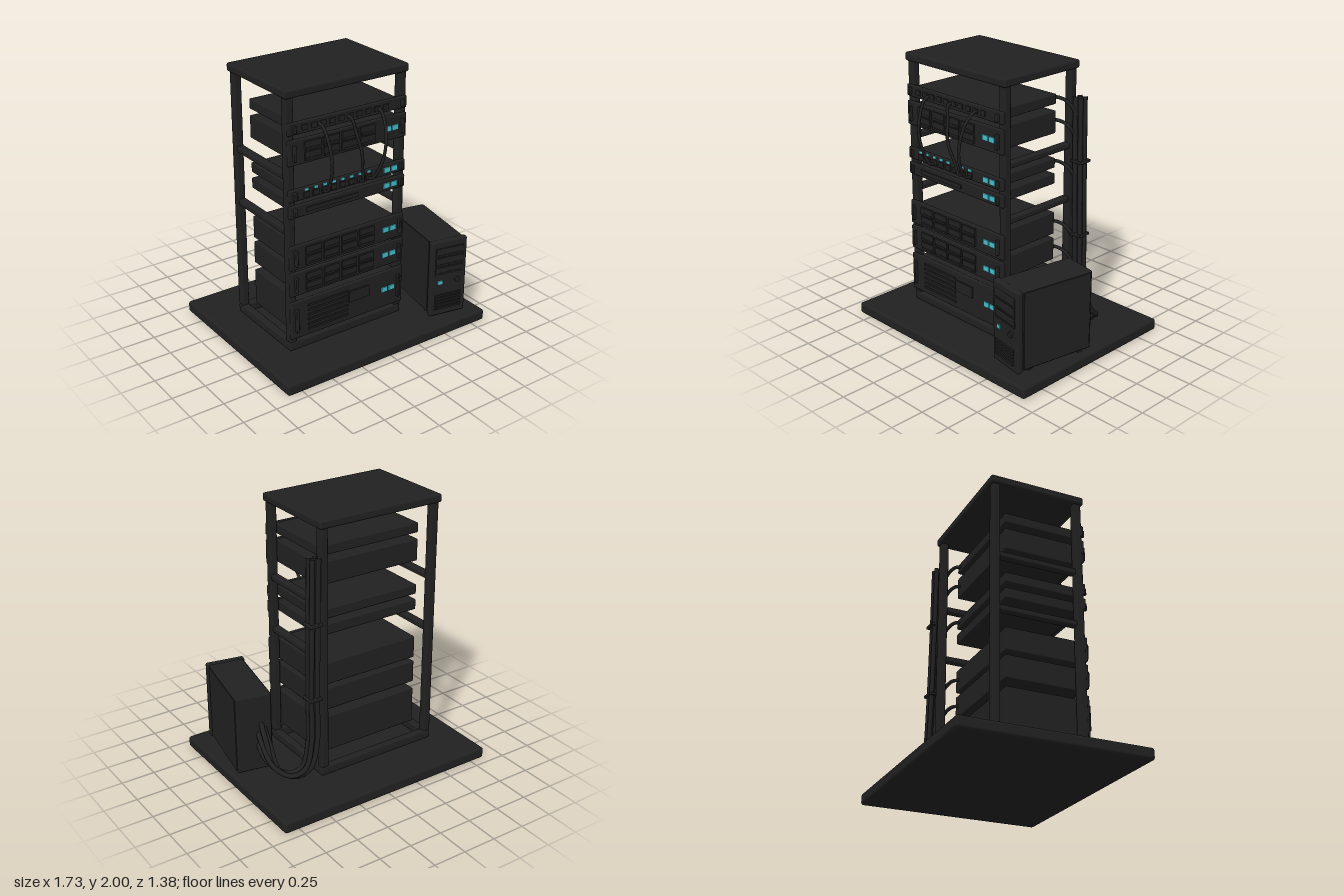
import * as THREE from 'three';
import { RoundedBoxGeometry } from 'three/addons/geometries/RoundedBoxGeometry.js';

const mat = (name, color) => {
  const m = new THREE.MeshStandardMaterial({ color });
  m.name = name;
  return m;
};

export function createModel() {
  const root = new THREE.Group();
  root.name = 'serverRack';
  const black = mat('charcoal', 0x212121);
  const teal = mat('tealLight', 0x45bccc);

  const add = (parent, name, geo, material, x = 0, y = 0, z = 0) => {
    const m = new THREE.Mesh(geo, material);
    m.name = name;
    m.position.set(x, y, z);
    parent.add(m);
    return m;
  };
  // box given by its limits on each axis, with softened edges when r > 0
  const block = (parent, name, [x0, x1], [y0, y1], [z0, z1], r = 0, material = black) => {
    const w = x1 - x0, h = y1 - y0, d = z1 - z0;
    const geo = r ? new RoundedBoxGeometry(w, h, d, 2, r) : new THREE.BoxGeometry(w, h, d);
    return add(parent, name, geo, material, (x0 + x1) / 2, (y0 + y1) / 2, (z0 + z1) / 2);
  };
  const cable = (parent, name, pts, r) => {
    const curve = new THREE.CatmullRomCurve3(pts.map(p => new THREE.Vector3(...p)), false, 'centripetal');
    return add(parent, name, new THREE.TubeGeometry(curve, 48, r, 8), black);
  };
  const group = name => {
    const g = new THREE.Group();
    g.name = name;
    root.add(g);
    return g;
  };

  // floor plate
  block(root, 'basePlate', [-0.865, 0.865], [0, 0.085], [-0.69, 0.69], 0.02);

  // rack frame
  const frame = group('rackFrame');
  block(frame, 'topPlate', [-0.64, 0.355], [1.94, 2], [-0.36, 0.36], 0.015);
  const postX = [[-0.625, -0.567], [0.285, 0.342]], postZ = [[-0.345, -0.287], [0.287, 0.345]];
  for (const x of postX) {
    for (const z of postZ) block(frame, 'post', x, [0.15, 1.945], z, 0.01);
    block(frame, 'bottomSideRail', x, [0.085, 0.155], [-0.345, 0.345], 0.015);
    for (const y of [0.992, 1.392]) block(frame, 'sideRail', x, [y - 0.021, y + 0.021], [-0.29, 0.29], 0.01);
  }
  for (const z of postZ) block(frame, 'bottomRail', [-0.625, 0.342], [0.085, 0.155], z, 0.015);

  // rack units
  const F = 0.362; // front surface of the panels
  const details = {
    patch(g, y) {
      for (let i = 0; i < 10; i++) {
        const x = -0.52 + i * 0.0725;
        block(g, 'port', [x, x + 0.045], [y - 0.018, y + 0.018], [F, F + 0.008]);
      }
    },
    bays(g, y) {
      for (let i = 0; i < 4; i++) for (const s of [-1, 1]) {
        const x = -0.5 + i * 0.148, c = y + s * 0.036;
        block(g, 'driveBay', [x, x + 0.127], [c - 0.03, c + 0.03], [F, F + 0.012]);
        block(g, 'bayLatch', [x + 0.01, x + 0.117], [c - 0.02, c - 0.012], [F + 0.012, F + 0.016]);
      }
    },
    networkSwitch(g, y) {
      for (let i = 0; i < 8; i++) {
        const x = -0.487 + i * 0.0725;
        block(g, 'portLight', [x - 0.014, x + 0.014], [y + 0.021, y + 0.037], [F, F + 0.006], 0, teal);
        block(g, 'port', [x - 0.024, x + 0.024], [y - 0.028, y + 0.01], [F, F + 0.008]);
      }
    },
    slot(g, y) {
      block(g, 'discSlot', [-0.49, -0.07], [y - 0.015, y + 0.015], [F, F + 0.008]);
    },
    vents(g, y) {
      for (let i = 0; i < 6; i++) {
        const c = y + 0.092 - i * 0.037;
        block(g, 'vent', [-0.485, -0.145], [c - 0.007, c + 0.007], [F, F + 0.008]);
      }
      block(g, 'drivePlate', [-0.14, 0.035], [y, y + 0.085], [F, F + 0.01]);
    },
  };
  const units = [
    ['patchPanel', 1.69, 1.775, 'patch'], ['upperDiskServer', 1.48, 1.655, 'bays'],
    ['networkSwitch', 1.225, 1.31, 'networkSwitch'], ['slimServer', 1.105, 1.195, 'slot'],
    ['middleDiskServer', 0.72, 0.9, 'bays'], ['lowerDiskServer', 0.52, 0.7, 'bays'],
    ['largeServer', 0.185, 0.475, 'vents'],
  ];
  for (const [name, y0, y1, kind] of units) {
    const g = group(name), y = (y0 + y1) / 2, h = (y1 - y0) * 0.31;
    block(g, 'body', [-0.555, 0.272], [y0 + 0.006, y1 - 0.006], [-0.217, 0.345], 0.008);
    block(g, 'frontPanel', [-0.622, 0.338], [y0, y1], [0.335, F], 0.008);
    for (const x of [-0.58, 0.295]) block(g, 'handle', [x - 0.011, x + 0.011], [y - h, y + h], [F - 0.01, 0.387], 0.006);
    if (kind !== 'patch') for (const x of [0.15, 0.213])
      block(g, 'statusLight', [x, x + 0.053], [y - 0.019, y + 0.019], [F, F + 0.008], 0, teal);
    details[kind](g, y);
  }

  // patch cables hanging in front
  const patchCables = group('patchCables');
  for (const [xa, xb, z] of [[-0.385, -0.345, 0.482], [-0.155, -0.05, 0.45], [0.095, 0.02, 0.495]]) {
    const at = t => xa + (xb - xa) * t;
    cable(patchCables, 'patchCable', [[xa, 1.735, 0.36], [at(0.04), 1.725, 0.4], [at(0.22), 1.64, z - 0.03],
      [at(0.5), 1.49, z], [at(0.78), 1.35, z - 0.03], [at(0.96), 1.255, 0.4], [xb, 1.248, 0.36]], 0.011);
  }

  // vertical cable bundle running down to the tower
  const bundle = group('cableBundle');
  const strands = [[0, 0], [-0.024, -0.022], [0.024, -0.022], [-0.024, 0.022], [0.024, 0.022]];
  strands.forEach(([dx, dz], i) => {
    const end = 0.5 - i * 0.045;
    cable(bundle, 'strand', [[0.39 + dx, 1.755, -0.33 + dz], [0.4 + dx, 1.25, -0.33 + dz],
      [0.41 + dx, 0.72, -0.335 + dz], [0.42 + dx, 0.38, -0.342 + dz], [0.47 + dx, 0.2, -0.335 + dz],
      [0.56 + dx, 0.15 + dx * 0.4, -0.295 + dz], [0.65 + dx, 0.2 + dx, -0.21 + dz],
      [0.66 + dx, 0.36 - i * 0.025, -0.12 + dz / 2], [0.64 + dx, end, 0.0]], 0.018);
  });
  for (const [x, y] of [[0.403, 1.287], [0.409, 0.735]])
    block(bundle, 'cableTie', [x - 0.05, x + 0.05], [y - 0.01, y + 0.01], [-0.388, -0.283], 0.006);
  for (const y of [1.735, 1.57, 1.27, 0.81, 0.61])
    cable(bundle, 'feedCable', [[0.22, y, -0.2], [0.25, y, -0.245], [0.31, y - 0.015, -0.268],
      [0.35, y - 0.05, -0.285], [0.385, y - 0.13, -0.32]], 0.013);

  // tower computer, turned slightly
  const tower = group('towerComputer');
  tower.position.set(0.648, 0, 0.253);
  tower.rotation.y = -0.18;
  block(tower, 'case', [-0.13, 0.13], [0.105, 0.695], [-0.285, 0.315], 0.01);
  for (const s of [-1, 1])
    block(tower, 'sidePanel', s < 0 ? [-0.137, -0.125] : [0.125, 0.137], [0.115, 0.685], [-0.27, 0.28], 0.004);
  block(tower, 'frontPanel', [-0.145, 0.145], [0.1, 0.7], [0.29, 0.34], 0.014);
  for (const [y0, y1] of [[0.58, 0.648], [0.505, 0.572], [0.435, 0.495]]) {
    block(tower, 'driveCover', [-0.112, 0.116], [y0, y1], [0.335, 0.349], 0.005);
    block(tower, 'driveLip', [-0.095, 0.1], [y0 + 0.012, y0 + 0.018], [0.349, 0.353]);
  }
  block(tower, 'powerLight', [-0.09, -0.053], [0.358, 0.385], [0.34, 0.348], 0, teal);
  add(tower, 'powerButton', new THREE.CylinderGeometry(0.021, 0.021, 0.02, 20), black, 0.07, 0.373, 0.345).rotation.x = Math.PI / 2;
  for (let i = 0; i < 5; i++) {
    const y = 0.16 + i * 0.026;
    block(tower, 'vent', [-0.108, 0.105], [y - 0.007, y + 0.007], [0.338, 0.35]);
  }
  for (const x of [-0.09, 0.09]) for (const z of [-0.21, 0.21])
    add(tower, 'foot', new THREE.CylinderGeometry(0.025, 0.025, 0.03, 16), black, x, 0.095, z);

  return root;
}
